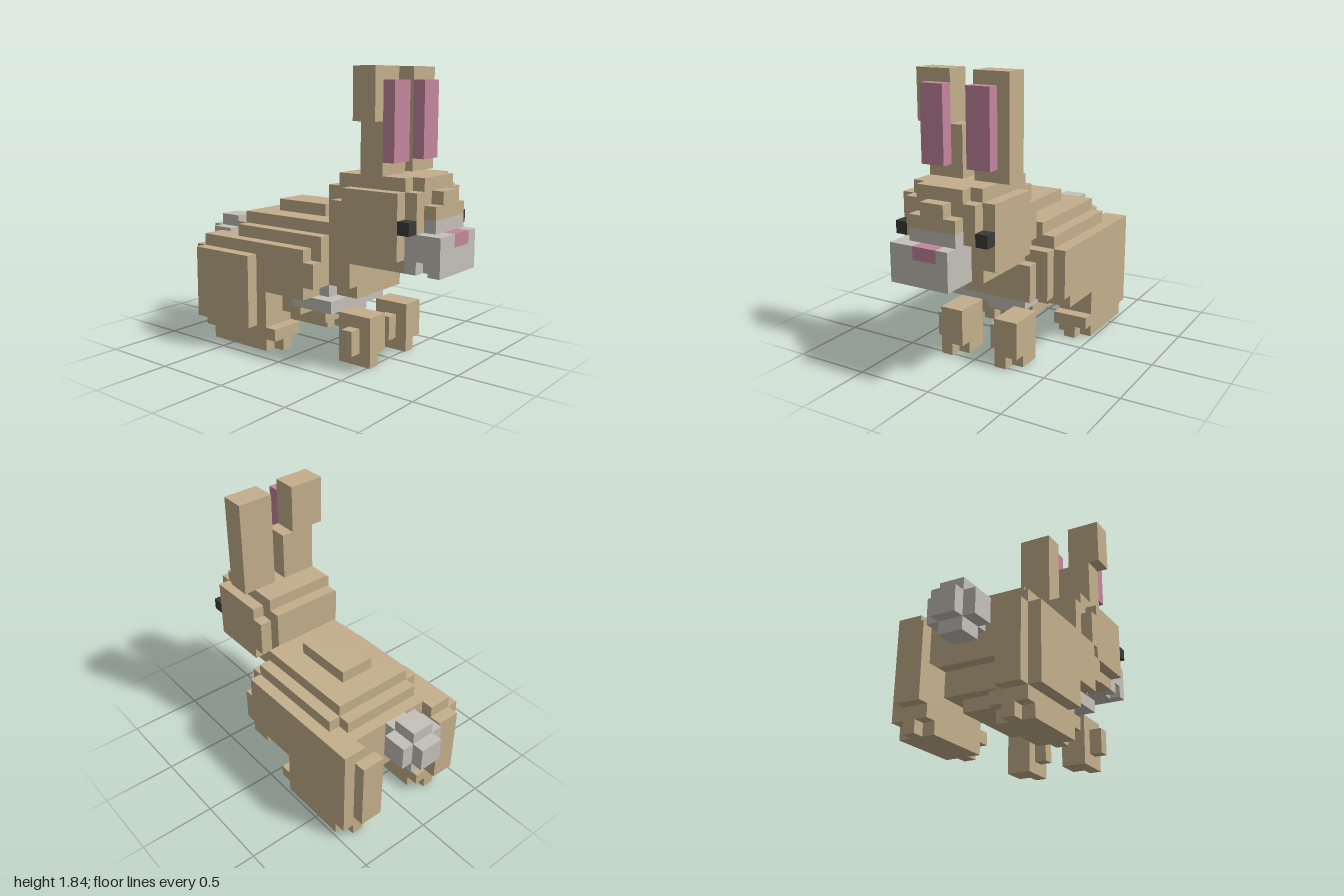
import * as THREE from 'three';
import { mergeGeometries } from 'three/addons/utils/BufferGeometryUtils.js';

const paint = (name, hex) => {
  const m = new THREE.MeshStandardMaterial({ color: hex });
  m.name = name;
  return m;
};

export function createModel() {
  const model = new THREE.Group();
  const tan = paint('tan fur', 0xc4af8c);
  const grey = paint('pale grey fur', 0xc4c1b8);
  const pink = paint('pink skin', 0xc4869e);
  const dark = paint('dark eye', 0x3a3a36);

  // One block from [x0, x1, y0, y1, z0, z1]
  const block = ([x0, x1, y0, y1, z0, z1]) =>
    new THREE.BoxGeometry(x1 - x0, y1 - y0, z1 - z0)
      .translate((x0 + x1) / 2, (y0 + y1) / 2, (z0 + z1) / 2);
  const part = (name, material, blocks) => {
    const mesh = new THREE.Mesh(mergeGeometries(blocks.map(block)), material);
    mesh.name = name;
    model.add(mesh);
  };
  const mirrorZ = (blocks) => blocks.map(([a, b, c, d, e, f]) => [a, b, c, d, -f, -e]);

  // Stepped body
  part('body', tan, [
    [-0.36, 0.04, 0.88, 0.96, -0.16, 0.08],
    [-0.52, 0.20, 0.80, 0.88, -0.32, 0.24],
    [-0.60, 0.20, 0.72, 0.80, -0.32, 0.24],
    [-0.52, 0.20, 0.72, 0.80, -0.40, 0.32],
    [-0.68, 0.20, 0.48, 0.72, -0.40, 0.32],
    [-0.68, 0.12, 0.40, 0.48, -0.40, 0.32],
    [-0.60, -0.04, 0.24, 0.40, -0.24, 0.24],
    [-0.52, 0.04, 0.16, 0.24, -0.16, 0.08],
  ]);
  part('chest', tan, [
    [0.12, 0.28, 0.48, 0.72, -0.40, 0.24],
    [0.12, 0.28, 0.40, 0.48, -0.40, 0.16],
    [0.28, 0.36, 0.48, 0.64, -0.32, 0.24],
    [0.28, 0.36, 0.40, 0.48, -0.32, 0.16],
  ]);
  part('belly', grey, [
    [-0.04, 0.28, 0.32, 0.40, -0.24, 0.32],
    [-0.04, 0.20, 0.24, 0.32, -0.16, 0.08],
    [0.12, 0.20, 0.40, 0.48, 0.16, 0.24],
  ]);

  // Flanks and hind legs
  part('leftHindLeg', tan, [
    [-0.76, 0.12, 0.64, 0.72, 0.24, 0.40],
    [-0.76, 0.20, 0.48, 0.64, 0.24, 0.40],
    [-0.76, 0.12, 0.40, 0.48, 0.24, 0.40],
    [-0.84, -0.20, 0.16, 0.64, 0.24, 0.40],
    [-0.68, -0.20, 0.16, 0.40, 0.16, 0.24],
    [-0.76, -0.28, 0.16, 0.64, 0.40, 0.48],
  ]);
  part('rightHindLeg', tan, [
    [-0.76, 0.20, 0.40, 0.72, -0.48, -0.32],
    [-0.76, 0.12, 0.32, 0.40, -0.48, -0.32],
    [-0.76, -0.20, 0.16, 0.40, -0.48, -0.24],
    [-0.84, -0.76, 0.16, 0.64, -0.40, -0.24],
  ]);
  // Feet with stepped sole corners
  for (const [name, z] of [['leftHindFoot', 0.16], ['rightHindFoot', -0.48]]) {
    part(name, tan, [
      [-0.76, -0.12, 0.08, 0.16, z, z + 0.24],
      [-0.68, -0.20, 0, 0.08, z, z + 0.24],
      [-0.76, -0.12, 0, 0.08, z + 0.08, z + 0.16],
    ]);
  }
  // Front paws with a small side bump
  for (const [name, z] of [['leftFrontPaw', 0.08], ['rightFrontPaw', -0.32]]) {
    part(name, tan, [
      [0.28, 0.52, 0.08, 0.32, z, z + 0.16],
      [0.28, 0.44, 0, 0.08, z, z + 0.16],
      [0.44, 0.52, 0, 0.08, z + 0.08, z + 0.16],
      [0.36, 0.44, 0.08, 0.24, z + 0.16, z + 0.24],
    ]);
  }

  // Head: core plus stepped cheeks on both sides
  const cheek = [
    [0.28, 0.76, 0.64, 1.12, 0.16, 0.24],
    [0.36, 0.76, 0.72, 1.12, 0.24, 0.32],
    [0.28, 0.36, 0.80, 1.04, 0.24, 0.32],
  ];
  part('head', tan, [
    [0.20, 0.76, 0.64, 1.12, -0.24, 0.24],
    [0.28, 0.76, 1.12, 1.20, -0.24, 0.24],
    [0.76, 0.84, 0.88, 1.12, -0.24, 0.24],
    [0.76, 0.84, 1.12, 1.20, -0.16, 0.16],
    [0.84, 0.92, 0.96, 1.04, -0.16, 0.16],
    [0.84, 0.92, 1.04, 1.12, -0.08, 0.08],
    ...cheek, ...mirrorZ(cheek),
  ]);
  part('muzzle', grey, [
    [0.76, 0.92, 0.72, 0.88, -0.16, 0.24],
    [0.76, 0.84, 0.64, 0.72, -0.16, 0.24],
    [0.84, 0.92, 0.64, 0.72, -0.16, 0.16],
    [0.84, 0.92, 0.88, 0.96, -0.16, 0.16],
    [0.92, 1.00, 0.64, 0.80, -0.16, 0.24],
    [0.92, 1.00, 0.80, 0.88, -0.16, -0.08],
    [0.92, 1.00, 0.80, 0.88, 0.08, 0.24],
  ]);
  part('nose', pink, [[0.92, 1.00, 0.80, 0.88, -0.08, 0.08]]);
  const eye = [[0.76, 0.84, 0.88, 0.96, 0.24, 0.32]];
  part('leftEye', dark, eye);
  part('rightEye', dark, mirrorZ(eye));

  // Ears; the left one has an offset tip
  part('leftEar', tan, [
    [0.44, 0.60, 1.20, 1.52, 0, 0.24],
    [0.44, 0.60, 1.52, 1.84, 0.08, 0.32],
  ]);
  part('rightEar', tan, [[0.44, 0.60, 1.20, 1.84, -0.32, -0.08]]);
  const innerEar = [[0.60, 0.68, 1.28, 1.76, 0.08, 0.24]];
  part('leftInnerEar', pink, innerEar);
  part('rightInnerEar', pink, mirrorZ(innerEar));

  // Tail puff
  part('tail', grey, [
    [-1.00, -0.68, 0.56, 0.72, -0.08, 0.08],
    [-0.92, -0.76, 0.48, 0.80, -0.08, 0.08],
    [-0.92, -0.76, 0.56, 0.72, -0.16, 0.16],
  ]);
  return model;
}
